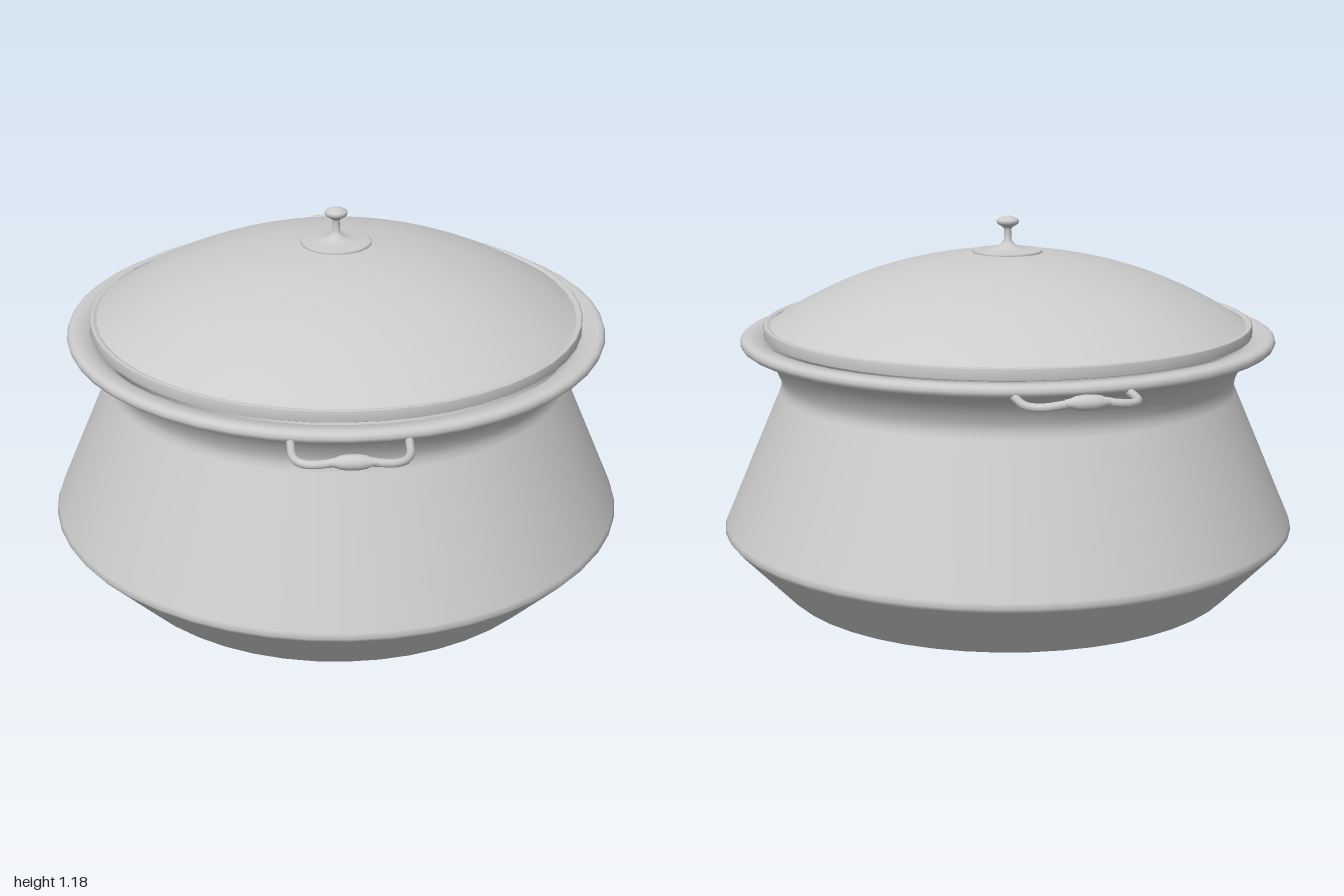
import * as THREE from 'three';

const material = new THREE.MeshStandardMaterial({ color: 0xcccccc, side: THREE.DoubleSide });
const SEGMENTS = 48;

function mesh(name, geometry) {
  const m = new THREE.Mesh(geometry, material);
  m.name = name;
  return m;
}

// Turns a profile of [radius, height] pairs around the y axis
function turned(name, profile, segments = SEGMENTS) {
  return mesh(name, new THREE.LatheGeometry(profile.map(([r, y]) => new THREE.Vector2(r, y)), segments));
}

// Side carrying handle: a bent rod with a turned grip in the middle
function createHandle(name) {
  const handle = new THREE.Group();
  handle.name = name;
  const half = [[0.165, 0.785, 0.79], [0.164, 0.785, 0.85], [0.16, 0.785, 0.91], [0.142, 0.787, 0.95],
    [0.11, 0.79, 0.969], [0.06, 0.797, 0.976]];
  const points = [...half, [0, 0.8, 0.978], ...half.slice().reverse().map(([x, y, z]) => [-x, y, z])];
  const path = new THREE.CatmullRomCurve3(points.map((p) => new THREE.Vector3(...p)));
  handle.add(mesh('handleRod', new THREE.TubeGeometry(path, 48, 0.012, 10, false)));

  const grip = turned('handleGrip', [[0.011, -0.065], [0.013, -0.05], [0.019, -0.035], [0.022, -0.015],
    [0.022, 0.015], [0.019, 0.035], [0.013, 0.05], [0.011, 0.065]], 16);
  grip.rotation.z = Math.PI / 2;
  grip.position.set(0, 0.8, 0.978);
  handle.add(grip);
  return handle;
}

export function createModel() {
  const model = new THREE.Group();
  model.name = 'lidded cooking pot';

  // Pot: flat base, sharp belly, narrow neck, flared mouth with rolled rim, inner wall
  model.add(turned('potBody', [
    [0, 0], [0.72, 0], [0.73, 0.002], [0.738, 0.009],
    [0.907, 0.186], [0.917, 0.2], [0.911, 0.216],
    [0.73, 0.638], [0.723, 0.66], [0.727, 0.685], [0.742, 0.72], [0.766, 0.752], [0.797, 0.777], [0.822, 0.785],
    [0.838, 0.785], [0.846, 0.791], [0.85, 0.802], [0.846, 0.813], [0.838, 0.819], [0.825, 0.821],
    [0.79, 0.819], [0.75, 0.785], [0.715, 0.73], [0.7, 0.66],
    [0.885, 0.205], [0.715, 0.025], [0, 0.025],
  ]));

  // Lid: upright brim below a shallow spherical dome
  const lid = new THREE.Group();
  lid.name = 'lid';
  lid.add(turned('lidBrim', [[0.74, 0.818], [0.772, 0.818], [0.777, 0.821], [0.777, 0.852], [0.773, 0.855],
    [0.765, 0.855], [0.757, 0.85]]));
  const dome = [];
  const sphereRadius = 1.38;
  for (let i = 0; i <= 20; i++) {
    const r = 0.768 * (1 - i / 20);
    dome.push([r, 1.074 - sphereRadius + Math.sqrt(sphereRadius ** 2 - r ** 2)]);
  }
  lid.add(turned('lidDome', dome));

  // Knob: base plate, thin stem and mushroom cap
  lid.add(turned('lidKnob', [
    [0.108, 1.066], [0.111, 1.068], [0.111, 1.075], [0.107, 1.077],
    [0.07, 1.079], [0.04, 1.085], [0.02, 1.097], [0.012, 1.112], [0.011, 1.142],
    [0.016, 1.149], [0.032, 1.159], [0.036, 1.166], [0.034, 1.173], [0.022, 1.18], [0.01, 1.184], [0, 1.185],
  ], 32));
  model.add(lid);

  // Matching handles at front and back
  const frontHandle = createHandle('frontHandle');
  const backHandle = createHandle('backHandle');
  backHandle.rotation.y = Math.PI;
  model.add(frontHandle, backHandle);
  return model;
}
